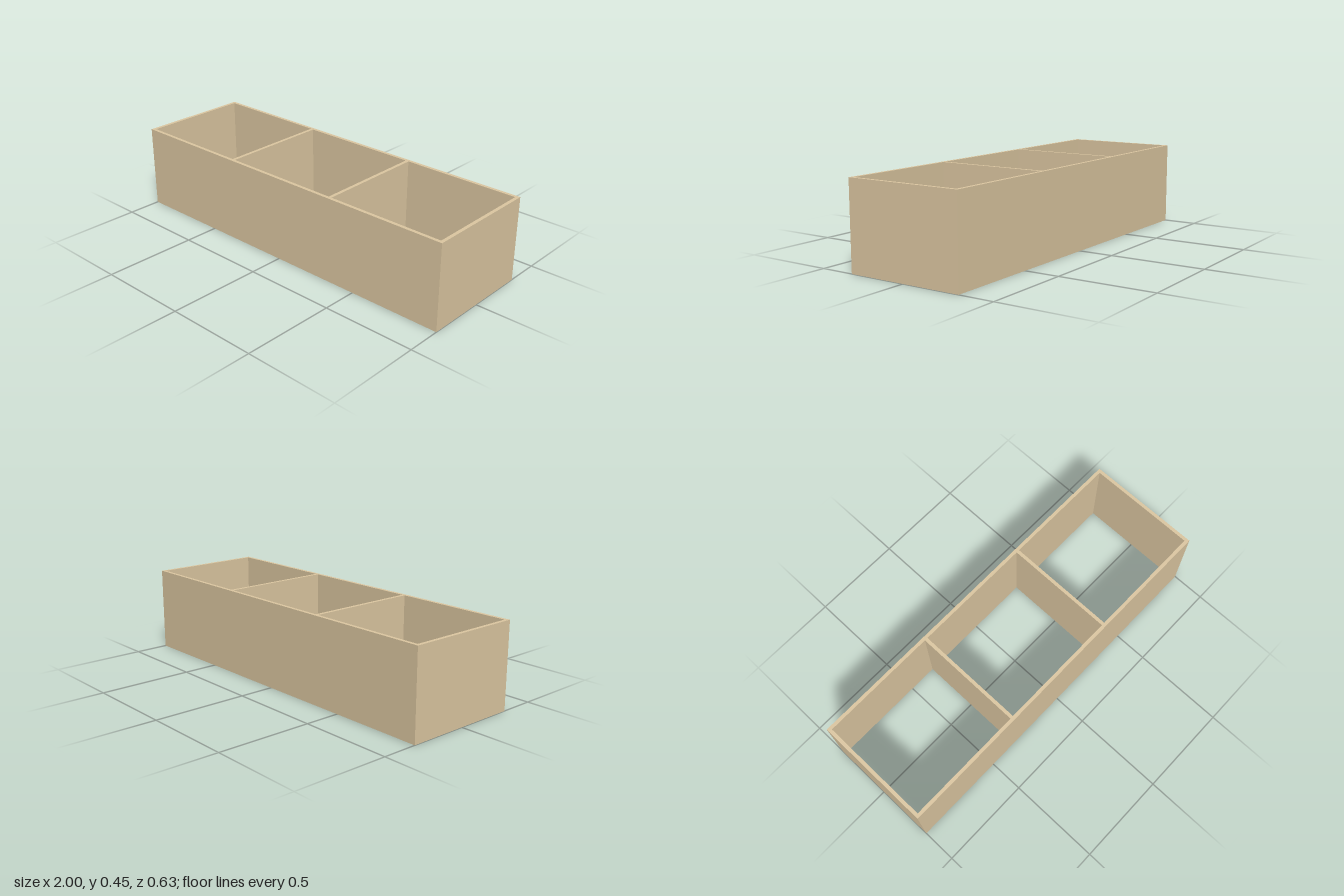
import * as THREE from 'three';

export function createModel() {
  const model = new THREE.Group();
  model.name = 'openPlanterBox';
  const wood = new THREE.MeshStandardMaterial({ color: 0xdcc7a1 });

  const length = 2, depth = 0.63, height = 0.453, board = 0.018;
  const innerDepth = depth - 2 * board;

  function panel(name, w, d, x, z) {
    const mesh = new THREE.Mesh(new THREE.BoxGeometry(w, height, d), wood);
    mesh.name = name;
    mesh.position.set(x, height / 2, z);
    model.add(mesh);
  }

  // Long boards run the full length
  panel('frontPanel', length, board, 0, (depth - board) / 2);
  panel('backPanel', length, board, 0, -(depth - board) / 2);

  // End boards and two dividers fit between them; top and bottom stay open
  for (const [side, s] of [['left', 1], ['right', -1]]) {
    panel(side + 'EndPanel', board, innerDepth, s * (length - board) / 2, 0);
    panel(side + 'Divider', board, innerDepth, s * 0.337, 0);
  }
  return model;
}
